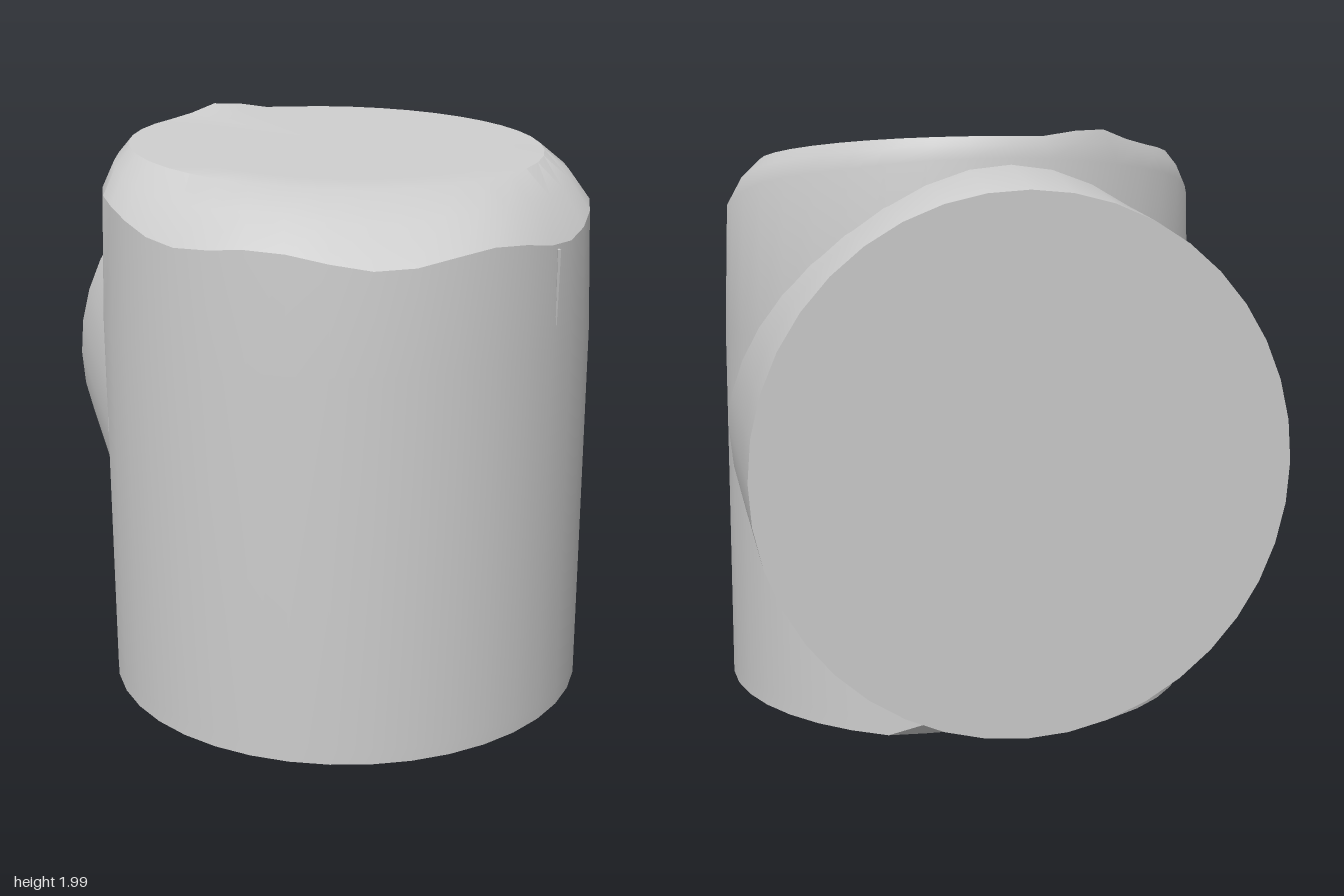
import * as THREE from 'three';
import { toCreasedNormals } from 'three/addons/utils/BufferGeometryUtils.js';
import { ConvexGeometry } from 'three/addons/geometries/ConvexGeometry.js';

const SIDES = 40;
const R = 0.855;      // radius of both branches
const AXIS_Z = 0.13;  // centre line of the upright branch
const AXIS_Y = 0.945; // centre line of the rear branch

// Closed solid through cross-section loops, each a function angle -> [x, y, z],
// with both ends closed by a fan.
function loft(rings, crease) {
  const positions = [], index = [];
  rings.forEach((ring) => {
    for (let i = 0; i < SIDES; i++) positions.push(...ring((i / SIDES) * Math.PI * 2));
  });
  for (let r = 0; r < rings.length - 1; r++) {
    for (let i = 0; i < SIDES; i++) {
      const j = (i + 1) % SIDES;
      const a = r * SIDES + i, b = r * SIDES + j;
      index.push(a, b, b + SIDES, a, b + SIDES, a + SIDES);
    }
  }
  [0, rings.length - 1].forEach((r) => {
    const centre = [0, 0, 0];
    for (let i = 0; i < SIDES; i++) {
      for (let k = 0; k < 3; k++) centre[k] += positions[(r * SIDES + i) * 3 + k] / SIDES;
    }
    const c = positions.length / 3;
    positions.push(...centre);
    for (let i = 0; i < SIDES; i++) {
      const a = r * SIDES + i, b = r * SIDES + ((i + 1) % SIDES);
      if (r === 0) index.push(c, b, a);
      else index.push(c, a, b);
    }
  });
  const geometry = new THREE.BufferGeometry();
  geometry.setAttribute('position', new THREE.Float32BufferAttribute(positions, 3));
  geometry.setIndex(index);
  return toCreasedNormals(geometry, crease);
}

// Uneven upper edge, rising towards the back
function rimHeight(t) {
  const z = AXIS_Z + R * Math.cos(t);
  const back = Math.max(0, (0.98 - z) / 1.7);
  return 1.645 + 0.25 * Math.pow(back, 1.3) + 0.025 * Math.sin(7 * t - 0.8) * (1 - back);
}

// Sloping top loop; the outer one carries a low peak at the back
const topLoop = (scale, peakHeight) => (t) => {
  const x = 0.73 * scale * Math.sin(t);
  const z = (Math.cos(t) > 0 ? 0.72 : 0.69) * scale * Math.cos(t);
  const peak = z < 0 ? peakHeight * Math.exp(-((x + 0.3) ** 2) / 0.012) : 0;
  return [x, 1.83 + 0.095 * (0.72 - z) + peak, z];
};

// Horizontal loop of the upright branch
const level = (radius, y) => (t) => [radius * Math.sin(t), y, AXIS_Z + radius * Math.cos(t)];

// Loop of the rear branch; up and down stretch the crown and the underside
const section = (z, up = 0, down = 0) => (t) => {
  const c = Math.cos(t);
  const stretch = c > 0 ? up * c ** 6 : -down * c ** 6;
  return [R * Math.sin(t), AXIS_Y + R * c + stretch, z];
};

export function createModel() {
  const model = new THREE.Group();
  model.name = 'elbowFitting';
  const grey = new THREE.MeshStandardMaterial({ color: 0xcccccc });
  grey.name = 'plain grey';

  const add = (name, geometry) => {
    const mesh = new THREE.Mesh(geometry, grey);
    mesh.name = name;
    model.add(mesh);
  };

  // Upright branch: flat base cut short at the back, rounded uneven shoulder, sloping top
  const base = (t) => {
    const [x, y, z] = level(R, 0)(t);
    return [x, y, Math.max(z, -0.64)];
  };
  const rim = (t) => level(0.84, rimHeight(t))(t);
  const top = topLoop(1, 0.035);
  const shoulder = (t) => {
    const a = rim(t), b = top(t);
    return [
      a[0] * 0.55 + b[0] * 0.45,
      a[1] * 0.4 + b[1] * 0.6,
      a[2] * 0.55 + b[2] * 0.45,
    ];
  };
  add('uprightBranch', loft(
    [base, level(R, 0.05), level(R, 1.3), rim, shoulder, top, topLoop(0.8, 0)], 0.55));

  // Rear branch: round socket flaring up and down where it meets the upright
  add('rearBranch', loft([section(0.1), section(-0.72, 0.075, 0.05), section(-0.975)], 0.6));

  // Thin sliver running down the front from the shoulder
  add('frontSliver', new ConvexGeometry([
    [0.52, 1.2, 0.8], [0.515, 1.63, 0.805], [0.53, 1.63, 0.76], [0.528, 1.63, 0.8],
  ].map((p) => new THREE.Vector3(...p))));

  return model;
}
